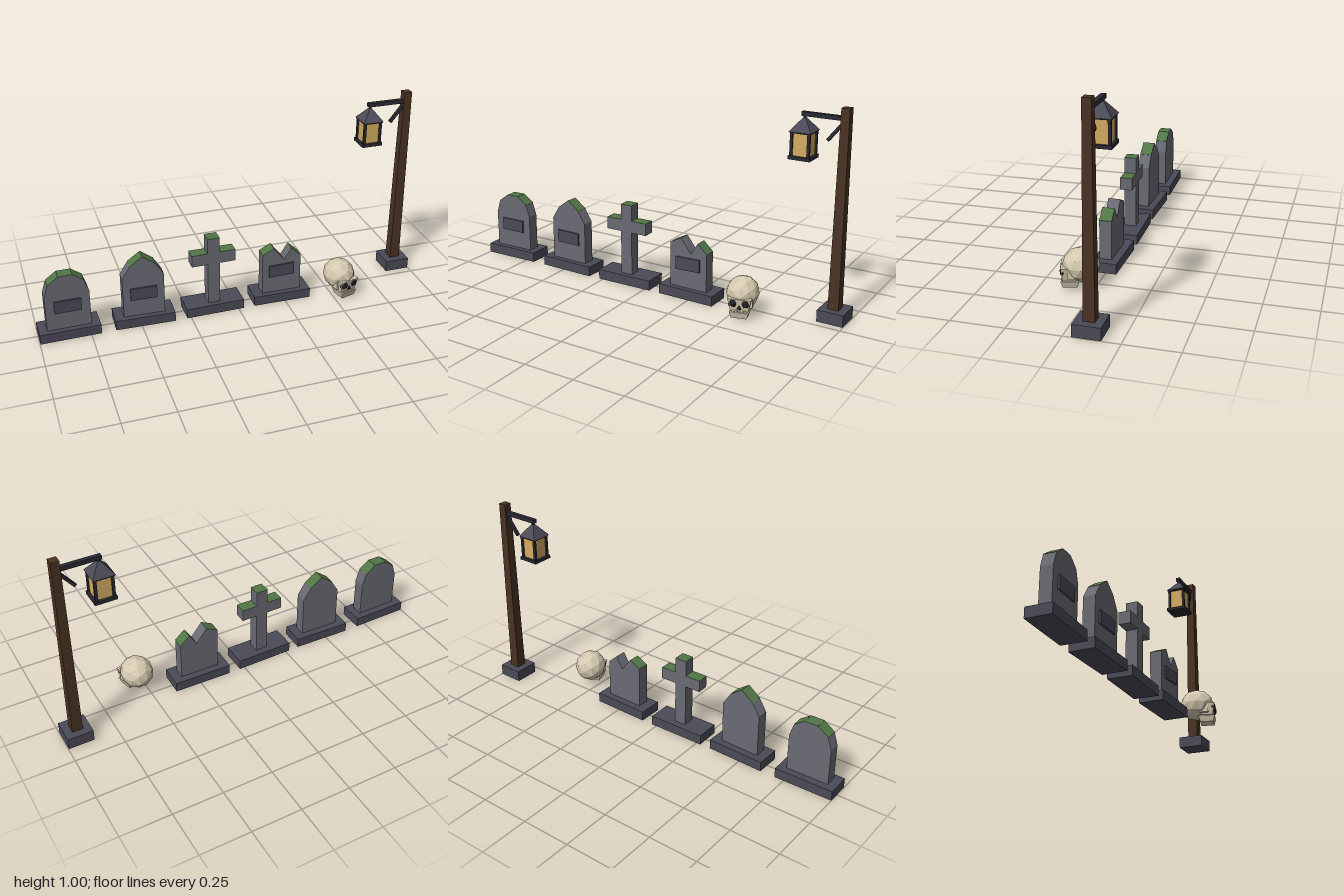
import * as THREE from 'three';

const mat = (name, color) => {
  const m = new THREE.MeshStandardMaterial({ color, flatShading: true });
  m.name = name;
  return m;
};

export function createModel() {
  const stone = mat('stone', 0x6a6a74), slate = mat('dark slate', 0x4b4a57);
  const moss = mat('moss', 0x527646), bone = mat('bone', 0xd6cab0);
  const glass = mat('lamp glass', 0xd5ac62), wood = mat('wood', 0x4a3323);
  const iron = mat('iron', 0x2a2a33), hollow = mat('hollow', 0x24242b);

  const model = new THREE.Group();
  model.name = 'graveyardSet';

  const group = (name, x, z, yaw = 0) => {
    const g = new THREE.Group();
    g.name = name;
    g.position.set(x, 0, z);
    g.rotation.y = yaw;
    model.add(g);
    return g;
  };
  const add = (parent, name, geo, material, x = 0, y = 0, z = 0) => {
    const m = new THREE.Mesh(geo, material);
    m.name = name;
    m.position.set(x, y, z);
    parent.add(m);
    return m;
  };
  const box = (parent, name, material, w, h, d, x, y, z) =>
    add(parent, name, new THREE.BoxGeometry(w, h, d), material, x, y, z);
  // Square frustum standing on y0
  const frustum = (parent, name, material, half0, half1, y0, y1, x = 0, z = 0) => {
    const geo = new THREE.CylinderGeometry(half1 * Math.SQRT2, half0 * Math.SQRT2, y1 - y0, 4);
    geo.rotateY(Math.PI / 4);
    return add(parent, name, geo, material, x, (y0 + y1) / 2, z);
  };

  // Headstone outlines, clockwise from the lower left; mossy lists the edges with moss
  const arch = [[-0.108, 0.05]];
  for (let i = 0; i <= 5; i++) {
    const a = Math.PI * (1 - i / 5);
    arch.push([0.108 * Math.cos(a), 0.235 + 0.108 * Math.sin(a)]);
  }
  arch.push([0.108, 0.05]);
  const stones = [
    { name: 'roundHeadstone', x: -0.85, yaw: 0.015, outline: arch, mossy: [2, 3, 4], plaqueTilt: 0 },
    {
      name: 'pointedHeadstone', x: -0.478, yaw: -0.03, mossy: [2, 3], plaqueTilt: 0,
      outline: [[-0.103, 0.05], [-0.103, 0.265], [-0.063, 0.328], [0, 0.374],
        [0.063, 0.328], [0.103, 0.265], [0.103, 0.05]],
    },
    {
      name: 'crossHeadstone', x: -0.122, yaw: 0.012, mossy: [3, 5, 7],
      outline: [[-0.031, 0.05], [-0.031, 0.272], [-0.112, 0.272], [-0.112, 0.332], [-0.031, 0.332],
        [-0.031, 0.412], [0.031, 0.412], [0.031, 0.332], [0.112, 0.332], [0.112, 0.272],
        [0.031, 0.272], [0.031, 0.05]],
    },
    {
      name: 'brokenHeadstone', x: 0.235, yaw: -0.02, mossy: [1, 4], plaqueTilt: 0.04,
      outline: [[-0.1, 0.05], [-0.1, 0.27], [-0.04, 0.3], [0.014, 0.23],
        [0.051, 0.289], [0.102, 0.242], [0.102, 0.05]],
    },
  ];
  for (const s of stones) {
    const g = group(s.name, s.x, 0.007, s.yaw);
    box(g, 'plinth', slate, 0.298, 0.05, 0.124, 0, 0.025, 0);
    const shape = new THREE.Shape(s.outline.map(([x, y]) => new THREE.Vector2(x, y)));
    add(g, 'slab', new THREE.ExtrudeGeometry(shape, { depth: 0.06, bevelEnabled: false }),
      stone, 0, 0, -0.026);
    for (const i of s.mossy) {
      const [x0, y0] = s.outline[i], [x1, y1] = s.outline[i + 1];
      const m = box(g, 'mossPatch', moss, Math.hypot(x1 - x0, y1 - y0), 0.003, 0.06,
        (x0 + x1) / 2, (y0 + y1) / 2, 0.004);
      m.rotation.z = Math.atan2(y1 - y0, x1 - x0);
    }
    if (s.plaqueTilt !== undefined) {
      box(g, 'plaque', slate, 0.132, 0.064, 0.012, 0, 0.175, 0.037).rotation.z = s.plaqueTilt;
    }
  }

  // Skull, turned a little to its left
  const skull = group('skull', 0.543, 0.065, 0.27);
  add(skull, 'cranium', new THREE.IcosahedronGeometry(1, 1), bone, 0, 0.111, 0).scale.set(0.079, 0.08, 0.086);
  frustum(skull, 'face', bone, 0.042, 0.055, 0.047, 0.108, 0, 0.052).scale.z = 0.72;
  frustum(skull, 'jaw', bone, 0.037, 0.046, 0.012, 0.043, 0, 0.05).scale.z = 0.9;
  box(skull, 'mouthGap', hollow, 0.066, 0.012, 0.05, 0, 0.043, 0.055);
  for (let i = 0; i < 5; i++) {
    box(skull, 'tooth', bone, 0.011, 0.018, 0.01, (i - 2) * 0.0145, 0.043, 0.082);
  }
  for (const side of [-1, 1]) {
    const eye = add(skull, 'eyeSocket', new THREE.IcosahedronGeometry(0.024, 0), hollow,
      side * 0.032, 0.088, 0.083);
    eye.scale.set(1, 1, 0.6);
    eye.rotation.y = side * 0.35;
    box(skull, 'cheek', bone, 0.014, 0.045, 0.05, side * 0.05, 0.08, 0.035);
  }
  const nose = new THREE.CylinderGeometry(0.013, 0.013, 0.008, 3);
  nose.rotateX(-Math.PI / 2);
  add(skull, 'noseHole', nose, hollow, 0, 0.066, 0.088).rotation.z = Math.PI;
  skull.children[skull.children.length - 1].rotation.z = 0;

  // Lamp post with bracket
  const post = group('lampPost', 0.934, -0.102);
  box(post, 'footing', slate, 0.127, 0.058, 0.127, 0, 0.029, 0);
  frustum(post, 'pole', wood, 0.0265, 0.02, 0.058, 1);
  box(post, 'arm', iron, 0.195, 0.02, 0.022, -0.11, 0.951, 0);
  box(post, 'brace', iron, 0.105, 0.015, 0.015, -0.048, 0.886, 0).rotation.z = 0.9;

  // Hanging lantern
  const lantern = group('lantern', 0.74, -0.102);
  box(lantern, 'hanger', iron, 0.01, 0.03, 0.01, 0, 0.935, 0);
  frustum(lantern, 'roof', slate, 0.053, 0.007, 0.873, 0.932);
  box(lantern, 'roofUnderside', iron, 0.1, 0.008, 0.1, 0, 0.871, 0);
  box(lantern, 'glassBody', glass, 0.08, 0.108, 0.08, 0, 0.816, 0);
  box(lantern, 'floor', iron, 0.106, 0.016, 0.106, 0, 0.754, 0);
  for (const x of [-1, 1]) for (const z of [-1, 1]) {
    box(lantern, 'cornerBar', iron, 0.013, 0.112, 0.013, x * 0.041, 0.817, z * 0.041);
  }
  return model;
}
